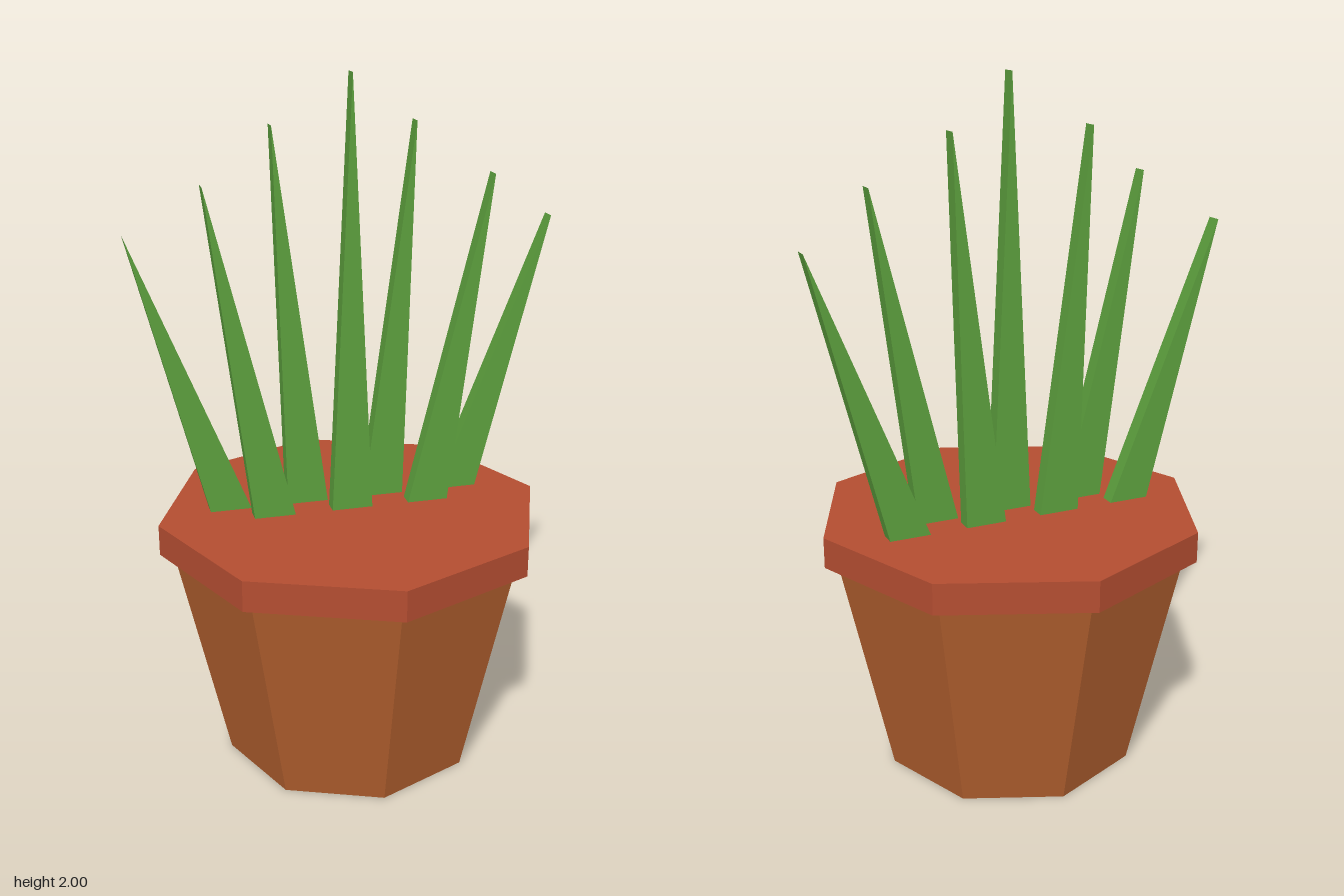
import * as THREE from 'three';

const terracotta = new THREE.MeshStandardMaterial({ color: 0xb3602f });
terracotta.name = 'terracotta';
const rimRed = new THREE.MeshStandardMaterial({ color: 0xb34d31 });
rimRed.name = 'rimRed';
const leafGreen = new THREE.MeshStandardMaterial({ color: 0x5c9f3d });
leafGreen.name = 'leafGreen';
for (const m of [terracotta, rimRed, leafGreen]) m.flatShading = true;

const SIDES = 8, POT_TOP = 0.67, RIM_TOP = 0.76;
const LEAF_WIDTH = 0.12, LEAF_DEPTH = 0.045;

// Eight-sided solid between two heights
function octagon(name, rTop, rBottom, y0, y1, material) {
  const geometry = new THREE.CylinderGeometry(rTop, rBottom, y1 - y0, SIDES);
  const mesh = new THREE.Mesh(geometry, material);
  mesh.name = name;
  mesh.position.y = (y0 + y1) / 2;
  return mesh;
}

// Triangular spike leaf with an even thickness
function leaf(name, baseX, tipX, tipY, z) {
  const shape = new THREE.Shape([
    new THREE.Vector2(baseX - LEAF_WIDTH / 2, RIM_TOP),
    new THREE.Vector2(baseX + LEAF_WIDTH / 2, RIM_TOP),
    new THREE.Vector2(tipX, tipY),
  ]);
  const geometry = new THREE.ExtrudeGeometry(shape, { depth: LEAF_DEPTH, bevelEnabled: false });
  geometry.translate(0, 0, z - LEAF_DEPTH / 2);
  const mesh = new THREE.Mesh(geometry, leafGreen);
  mesh.name = name;
  return mesh;
}

export function createModel() {
  const group = new THREE.Group();
  group.name = 'pottedPlant';

  group.add(octagon('pot', 0.526, 0.377, 0, POT_TOP, terracotta));
  group.add(octagon('rim', 0.565, 0.565, POT_TOP, RIM_TOP, rimRed));

  // Fan of leaves, alternating between a middle row and a back row
  const leaves = new THREE.Group();
  leaves.name = 'leaves';
  for (let i = -3; i <= 3; i++) {
    const n = Math.abs(i);
    const z = n % 2 ? -0.079 : 0;
    leaves.add(leaf(`leaf${i + 4}`, i * 0.115, i * 0.204, 2 - n * 0.141, z));
  }
  group.add(leaves);
  return group;
}
